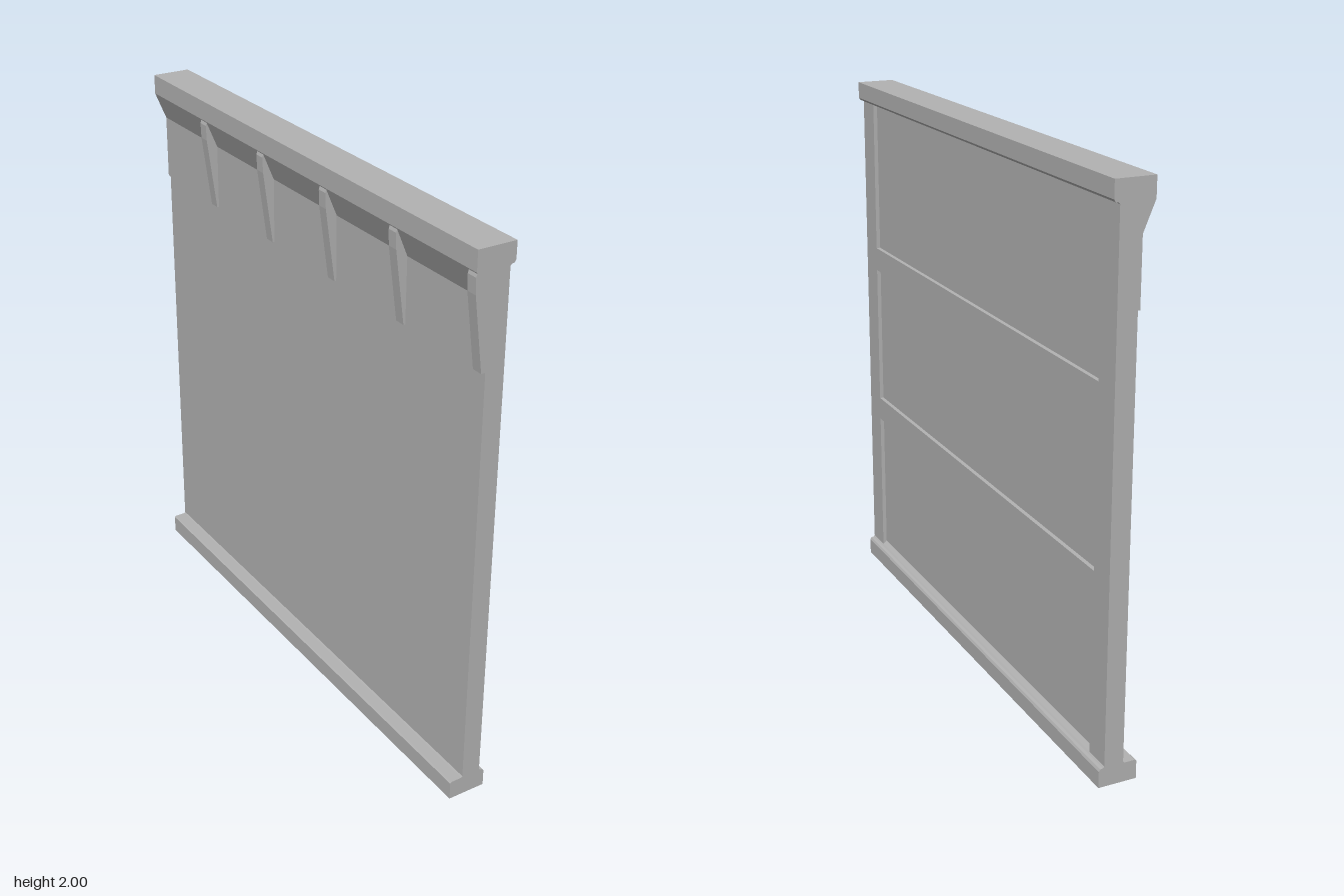
import * as THREE from 'three';

export function createModel() {
  const model = new THREE.Group();
  const grey = new THREE.MeshStandardMaterial({ color: 0xb2b2b2 });
  grey.name = 'plain grey';

  // Extrude an (x, y) outline along z, from z0 to z1
  function extrude(name, points, z0, z1) {
    const shape = new THREE.Shape(points.map(([x, y]) => new THREE.Vector2(x, y)));
    const geo = new THREE.ExtrudeGeometry(shape, { depth: z1 - z0, bevelEnabled: false });
    const mesh = new THREE.Mesh(geo, grey);
    mesh.name = name;
    mesh.position.z = z0;
    model.add(mesh);
  }
  function box(name, x0, x1, y0, y1, z0, z1) {
    const mesh = new THREE.Mesh(new THREE.BoxGeometry(x1 - x0, y1 - y0, z1 - z0), grey);
    mesh.name = name;
    mesh.position.set((x0 + x1) / 2, (y0 + y1) / 2, (z0 + z1) / 2);
    model.add(mesh);
  }

  const back = -0.02, face = 0.05, recess = 0.035, low = 0.075, high = 1.925;

  // Wall core, with the framing standing proud of it on the +x side
  box('wallCore', back, recess, low, high, -1, 1);
  for (const [z0, z1] of [[-1, -0.9], [0.9, 1]]) box('framePost', recess, face, low, high, z0, z1);
  for (const y of [0.64, 1.27]) box('frameBar', recess, face, y, y + 0.09, -0.9, 0.9);

  // Base rail with eased edges, and the sill sloping into the lowest panel
  extrude('baseRail', [[-0.07, 0], [0.07, 0], [0.07, 0.06], [0.065, 0.068], [0.055, 0.07],
    [face, low], [back, low], [-0.025, 0.07], [-0.065, 0.07], [-0.07, 0.065]], -1, 1);
  extrude('panelSill', [[recess, low], [face, low], [recess, 0.088]], -0.9, 0.9);

  // Top rail
  extrude('topRail', [[-0.07, 2], [-0.07, 1.93], [back, high], [face, high],
    [0.055, 1.93], [0.065, 1.932], [0.07, 1.94], [0.07, 2]], -1, 1);

  // Thin apron under the top rail, flaring out to meet it
  extrude('apron', [[back, 1.6], [back, 1.93], [-0.07, 1.93], [-0.028, 1.83], [-0.028, 1.6]], -1, 1);

  // Tapered brackets, evenly spaced
  for (let i = 0; i < 5; i++) {
    const z = -0.6 + i * 0.4;
    extrude('bracket', [[back, 1.6], [back, 1.93], [-0.067, 1.93], [-0.072, 1.915],
      [-0.07, 1.86], [-0.035, 1.6]], z - 0.04, z);
  }
  return model;
}
